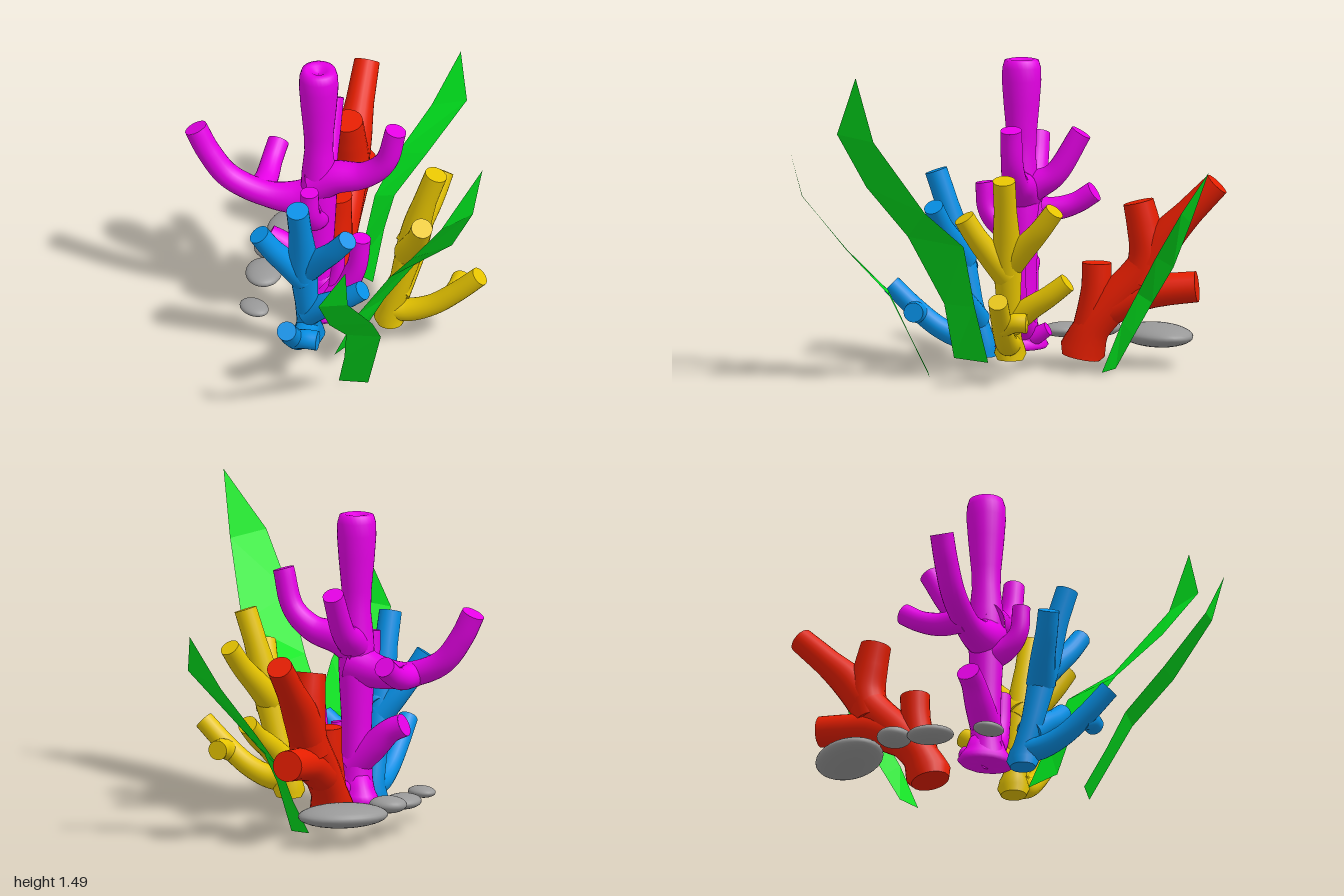
import * as THREE from 'three';

const mat = (name, color, opts = {}) => {
  const m = new THREE.MeshStandardMaterial({ color, ...opts });
  m.name = name;
  return m;
};

export function createModel() {
  const root = new THREE.Group();
  root.name = 'coralReef';
  const magenta = mat('magenta', 0xe600e6);
  const blue = mat('blue', 0x0590e6);
  const yellow = mat('yellow', 0xe6c400);
  const red = mat('red', 0xe61e00);
  const grey = mat('grey', 0x999999);
  const green = mat('green', 0x00e61e, { side: THREE.DoubleSide, flatShading: true });

  const add = (parent, name, geo, material) => {
    const mesh = new THREE.Mesh(geo, material);
    mesh.name = name;
    parent.add(mesh);
    return mesh;
  };

  // Tapering tube through [x, y, z, radius] points, with flat end caps
  const limb = (parent, name, pts, material) => {
    const sides = 20, steps = 28;
    const curve = new THREE.CatmullRomCurve3(pts.map(p => new THREE.Vector3(p[0], p[1], p[2])));
    const geo = new THREE.TubeGeometry(curve, steps, 1, sides);
    const pos = geo.attributes.position, v = new THREE.Vector3();
    for (let i = 0; i <= steps; i++) {
      const c = curve.getPointAt(i / steps);
      const t = curve.getUtoTmapping(i / steps) * (pts.length - 1);
      const k = Math.min(Math.floor(t), pts.length - 2);
      const r = THREE.MathUtils.lerp(pts[k][3], pts[k + 1][3], t - k);
      for (let j = 0; j <= sides; j++) {
        const n = i * (sides + 1) + j;
        v.fromBufferAttribute(pos, n).sub(c).multiplyScalar(r).add(c);
        pos.setXYZ(n, v.x, v.y, v.z);
      }
    }
    add(parent, name, geo, material);
    for (const end of [0, 1]) {
      const dir = curve.getTangentAt(end).multiplyScalar(end ? 1 : -1);
      const cap = add(parent, name + 'Cap', new THREE.CircleGeometry(pts[end ? pts.length - 1 : 0][3], sides), material);
      cap.position.copy(curve.getPointAt(end));
      cap.quaternion.setFromUnitVectors(new THREE.Vector3(0, 0, 1), dir);
    }
  };

  const coral = (name, material, limbs, x = 0, y = 0, z = 0, turn = 0) => {
    const g = new THREE.Group();
    g.name = name;
    g.position.set(x, y, z);
    g.rotation.y = turn;
    for (const [part, pts] of Object.entries(limbs)) limb(g, part, pts, material);
    root.add(g);
    return g;
  };

  // Tall magenta coral: lathed trunk with curling branches
  const tall = coral('tallCoral', magenta, {
    rightBranch: [[-.02, .82, 0, .1], [.08, .865, 0, .08], [.22, .9, 0, .062], [.32, .99, 0, .053], [.37, 1.175, 0, .05]],
    leftBranch: [[.02, .76, 0, .1], [-.1, .72, 0, .08], [-.25, .715, 0, .06], [-.43, .785, 0, .058], [-.53, .91, 0, .056], [-.59, 1.03, 0, .055]],
    leftOffshoot: [[-.29, .72, 0, .06], [-.28, .72, -.12, .055], [-.28, .75, -.22, .05], [-.27, .805, -.305, .05]],
    backBranch: [[0, .82, .02, .08], [0, .87, -.07, .07], [0, .92, -.155, .056], [0, 1.12, -.28, .05]],
    frontBranch: [[0, .64, -.02, .07], [0, .68, .1, .055], [0, .75, .16, .045], [0, .88, .175, .042]],
    lowLeftBranch: [[.02, .27, 0, .075], [-.09, .37, 0, .068], [-.17, .445, 0, .057], [-.24, .477, 0, .055]],
    lowRightBranch: [[0, .18, 0, .08], [.12, .26, 0, .06], [.18, .37, 0, .048], [.205, .54, 0, .045]],
    lowTwig: [[.07, .25, 0, .05], [.09, .35, 0, .033], [.1, .47, 0, .028]],
    rootTwig: [[.01, .14, 0, .05], [.03, .16, -.06, .042], [.04, .2, -.13, .033]],
  }, -.16, 0, -.037);
  const trunk = [[0, .1], [.09, .1], [.09, .13], [.076, .2], [.068, .35], [.072, .5], [.08, .64], [.085, .75], [.08, .88],
    [.067, 1], [.07, 1.1], [.084, 1.25], [.092, 1.36], [.09, 1.42], [.08, 1.455], [.06, 1.46], [.038, 1.455], [.02, 1.44], [0, 1.435]];
  add(tall, 'trunk', new THREE.LatheGeometry(trunk.map(p => new THREE.Vector2(...p)), 28), magenta);
  // Oval foot, long on the diagonal
  const foot = add(tall, 'foot', new THREE.LatheGeometry(
    [[0, .1], [.125, .1], [.14, .115], [.125, .14], [.1, .175], [.08, .23], [0, .25]].map(p => new THREE.Vector2(...p)), 28), magenta);
  foot.scale.z = .7;
  foot.rotation.y = -Math.PI / 4;

  // Two matching small corals, the second turned a quarter
  const bush = {
    trunk: [[0, 0, 0, .06], [0, .015, 0, .075], [0, .045, 0, .076], [0, .1, .01, .055], [0, .24, .05, .053], [0, .45, .1, .068], [0, .58, .13, .065], [0, .72, .17, .054], [0, .87, .22, .053]],
    rightBranch: [[0, .45, .09, .068], [.08, .54, .13, .058], [.16, .63, .17, .05], [.235, .73, .2, .046]],
    leftBranch: [[0, .41, .09, .07], [-.08, .51, .13, .058], [-.14, .6, .17, .052], [-.19, .69, .2, .05]],
    lowRightBranch: [[0, .17, .03, .065], [.1, .25, .06, .056], [.19, .31, .08, .05], [.28, .38, .09, .046]],
    frontBranch: [[0, .08, 0, .055], [0, .085, .09, .055], [0, .13, .2, .05], [0, .22, .315, .048], [0, .33, .43, .046]],
    frontTwig: [[0, .19, .29, .046], [.06, .215, .31, .046], [.12, .215, .31, .046]],
  };
  coral('blueCoral', blue, bush, -.16, .06, .145);
  coral('yellowCoral', yellow, bush, .185, .095, -.03, Math.PI / 2);

  // Thick red coral leaning to the back
  coral('redCoral', red, {
    trunk: [[0, .065, -.315, .09], [0, .08, -.318, .108], [0, .11, -.327, .108], [0, .2, -.365, .085], [0, .32, -.46, .088], [0, .47, -.6, .09], [0, .63, -.71, .085], [0, .75, -.82, .067], [0, .89, -.955, .06]],
    nearBranch: [[0, .15, -.345, .082], [0, .3, -.375, .075], [0, .4, -.387, .069], [0, .51, -.39, .07]],
    upperBranch: [[0, .42, -.6, .09], [0, .56, -.63, .09], [0, .69, -.61, .08], [0, .8, -.585, .072]],
    backBranch: [[0, .3, -.45, .086], [0, .37, -.6, .083], [0, .39, -.72, .076], [0, .405, -.86, .073]],
  }, -.16);

  // Flat stones: [x, y, z, half width, half height, half depth, turn]
  [[-.35, .15, -.645, .215, .055, .15, .7], [-.465, .165, -.38, .09, .04, .08, 0],
    [-.465, .15, -.2, .085, .035, .11, .2], [-.44, .145, .08, .078, .027, .058, -.6]].forEach(([x, y, z, a, b, c, turn], i) => {
    const s = add(root, 'stone' + (i + 1), new THREE.SphereGeometry(1, 28, 18), grey);
    s.position.set(x, y, z);
    s.scale.set(a, b, c);
    s.rotation.y = turn;
  });

  // Grass blades: strips between paired edge points, ending in a tip
  const blade = (name, pairs, tip) => {
    const verts = [...pairs.flat(), ...tip], index = [], n = pairs.length;
    for (let i = 0; i < n - 1; i++) {
      const a = i * 2;
      index.push(a, a + 1, a + 3, a, a + 3, a + 2);
    }
    index.push(n * 2 - 2, n * 2 - 1, n * 2);
    const geo = new THREE.BufferGeometry();
    geo.setAttribute('position', new THREE.Float32BufferAttribute(verts, 3));
    geo.setIndex(index);
    geo.computeVertexNormals();
    add(root, name, geo, green);
  };
  blade('tallBlade', [
    [-.01, .07, .26, .06, .06, .09], [.11, .34, .29, .2, .34, .135], [.3, .68, .435, .4, .65, .16],
    [.45, .93, .61, .57, .83, .32], [.62, 1.2, .725, .725, 1.18, .54]], [.79, 1.49, .615]);
  blade('frontBlade', [
    [.04, .01, .375, .175, .005, .35], [.09, .21, .465, .23, .21, .44], [.12, .4, .55, .28, .4, .525],
    [.09, .585, .75, .29, .61, .725], [.09, .83, .96, .225, .85, .94]], [.23, 1.07, 1]);
  blade('backBlade', [
    [-.11, .02, -.485, 0, .015, -.435], [-.07, .18, -.575, .03, .26, -.535], [-.05, .34, -.665, .06, .4, -.61],
    [.03, .52, -.775, .19, .59, -.715], [.17, .75, -.875, .345, .82, -.855]], [.285, 1.005, -.975]);

  return root;
}
